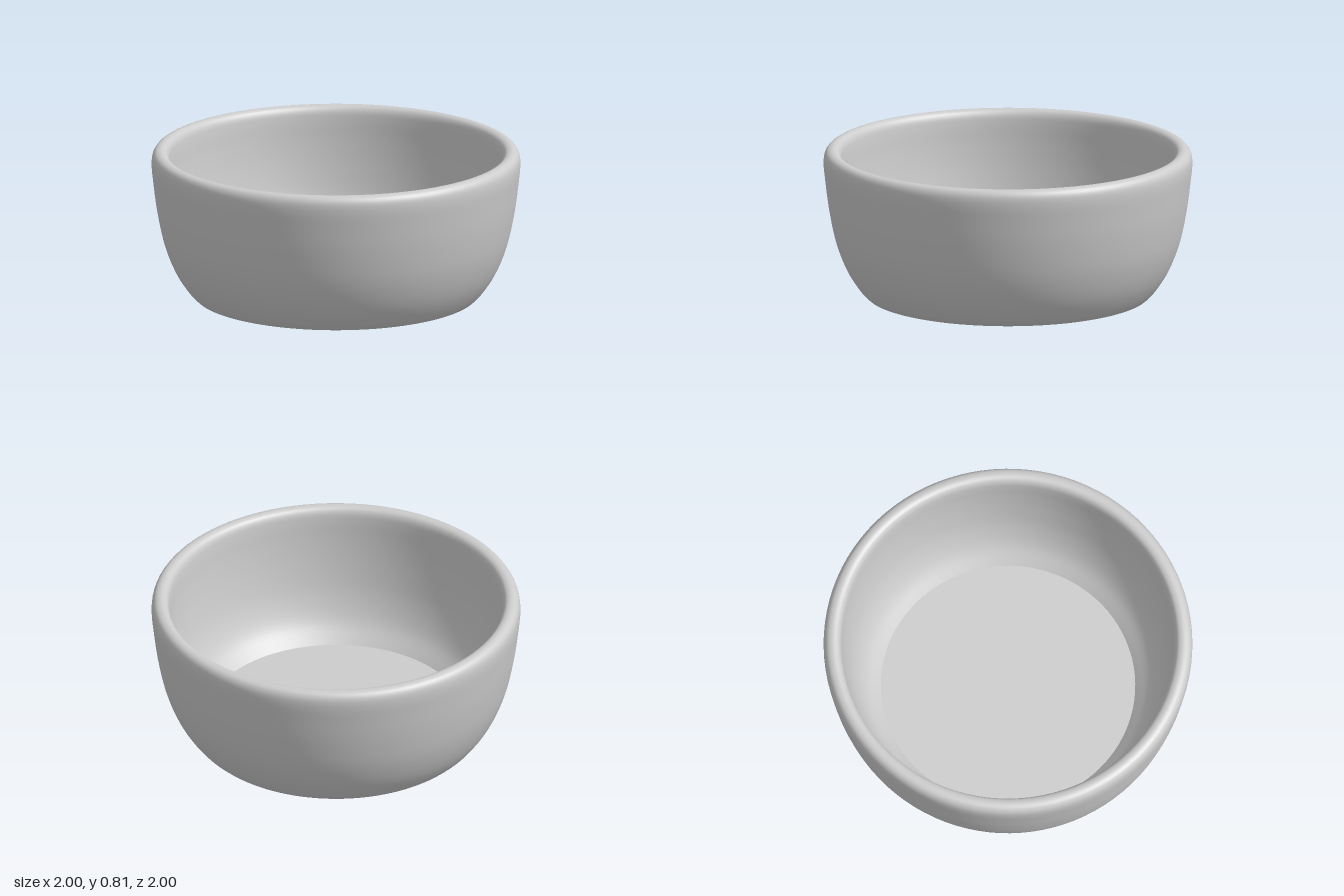
import * as THREE from 'three';

const SEGMENTS = 96;

export function createModel() {
  const bowl = new THREE.Group();
  bowl.name = 'bowl';
  const grey = new THREE.MeshStandardMaterial({ color: 0xcccccc });
  grey.name = 'grey';

  const add = (name, geometry) => {
    const mesh = new THREE.Mesh(geometry, grey);
    mesh.name = name;
    bowl.add(mesh);
    return mesh;
  };

  // Wall: up the outside, over the rounded rim and down the inside
  const profile = [
    [0.77, 0], [0.8, 0.03], [0.87, 0.135], [0.93, 0.285], [0.97, 0.47],
    [0.99, 0.62], [1, 0.73], [0.994, 0.774], [0.977, 0.797], [0.95, 0.805],
    [0.925, 0.797], [0.91, 0.775], [0.902, 0.73], [0.893, 0.62],
    [0.873, 0.47], [0.835, 0.3], [0.775, 0.165], [0.69, 0.07],
  ].map(([x, y]) => new THREE.Vector3(x, y, 0));
  const curve = new THREE.CatmullRomCurve3(profile, false, 'centripetal');
  const points = curve.getPoints(85).map((p) => new THREE.Vector2(p.x, p.y));
  add('wall', new THREE.LatheGeometry(points, SEGMENTS));

  // Flat discs close the inside floor and the underside
  const floor = add('floor', new THREE.CircleGeometry(0.69, SEGMENTS));
  floor.rotation.x = -Math.PI / 2;
  floor.position.y = 0.07;

  const base = add('base', new THREE.CircleGeometry(0.77, SEGMENTS));
  base.rotation.x = Math.PI / 2;

  return bowl;
}
